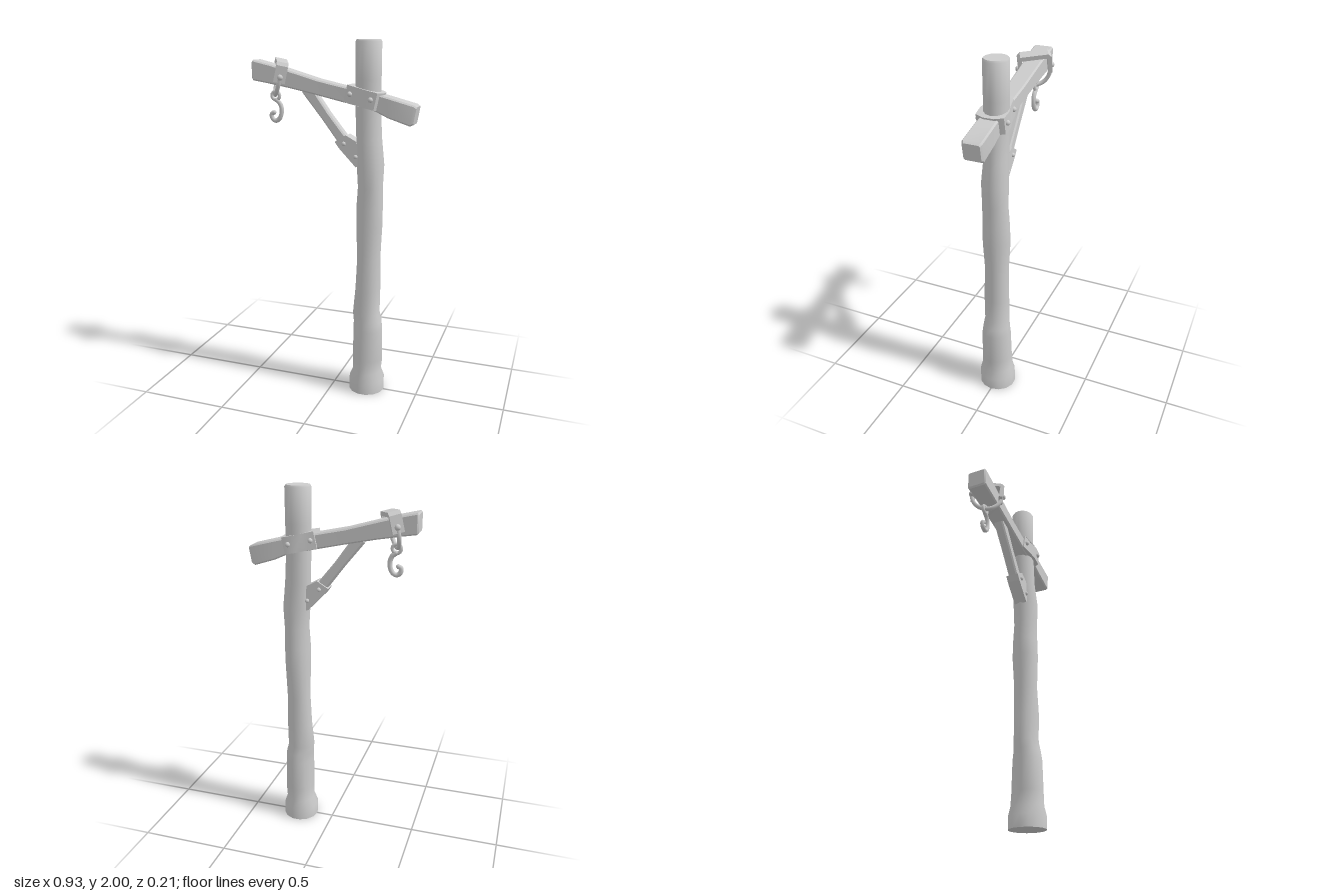
import * as THREE from 'three';
import { mergeVertices, toCreasedNormals } from 'three/addons/utils/BufferGeometryUtils.js';

const V = (x, y, z) => new THREE.Vector3(x, y, z);
const grey = new THREE.MeshStandardMaterial({ color: 0xcccccc });
grey.name = 'plain grey';

function add(parent, name, geometry) {
  const mesh = new THREE.Mesh(geometry, grey);
  mesh.name = name;
  parent.add(mesh);
  return mesh;
}

// Skin a series of equal-length rings and close both ends
function loft(rings, crease) {
  const n = rings[0].length, pos = [], idx = [];
  rings.forEach(r => r.forEach(p => pos.push(p.x, p.y, p.z)));
  for (let i = 0; i < rings.length - 1; i++) {
    for (let j = 0; j < n; j++) {
      const a = i * n + j, b = i * n + (j + 1) % n;
      idx.push(a, b, b + n, a, b + n, a + n);
    }
  }
  const last = (rings.length - 1) * n;
  for (let j = 1; j < n - 1; j++) {
    idx.push(0, j + 1, j, last, last + j, last + j + 1);
  }
  const g = new THREE.BufferGeometry();
  g.setAttribute('position', new THREE.Float32BufferAttribute(pos, 3));
  g.setIndex(idx);
  return toCreasedNormals(g, crease);
}

// Rectangular section with cut corners, for timber running along +x
function timberRing(x, bottom, top, z0, z1, cut) {
  return [
    [top, z0 + cut], [top, z1 - cut], [top - cut, z1], [bottom + cut, z1],
    [bottom, z1 - cut], [bottom, z0 + cut], [bottom + cut, z0], [top - cut, z0],
  ].map(([y, z]) => V(x, y, z));
}

function tube(points, radius, steps) {
  return new THREE.TubeGeometry(new THREE.CatmullRomCurve3(points), steps, radius, 8);
}

// Round-headed rivet with its axis along z
function rivet(parent, x, y, z, r = 0.014) {
  add(parent, 'rivet', new THREE.SphereGeometry(r, 10, 8)).position.set(x, y, z);
}

function buildPost(root) {
  // height, left, right, back, front
  const sections = [
    [0, 0.098, 0.304, -0.106, 0.106], [0.07, 0.098, 0.304, -0.106, 0.106],
    [0.12, 0.118, 0.284, -0.094, 0.096], [0.2, 0.118, 0.293, -0.088, 0.093],
    [0.38, 0.122, 0.291, -0.082, 0.087], [0.43, 0.122, 0.288, -0.076, 0.078],
    [0.48, 0.115, 0.274, -0.071, 0.07], [0.62, 0.127, 0.272, -0.073, 0.073],
    [0.8, 0.134, 0.268, -0.07, 0.066], [1.0, 0.132, 0.278, -0.08, 0.075],
    [1.1, 0.13, 0.28, -0.078, 0.07], [1.22, 0.137, 0.277, -0.073, 0.07],
    [1.34, 0.127, 0.281, -0.074, 0.074], [1.48, 0.122, 0.266, -0.068, 0.064],
    [1.65, 0.118, 0.256, -0.07, 0.062], [1.8, 0.116, 0.257, -0.071, 0.062],
    [1.99, 0.115, 0.257, -0.071, 0.063], [2.0, 0.121, 0.251, -0.065, 0.057],
  ];
  const rings = sections.map(([y, l, r, b, f]) => Array.from({ length: 14 }, (_, j) => {
    const a = j / 14 * Math.PI * 2;
    const worn = y > 0.1 && y < 1.6 ? 1 + 0.03 * Math.sin(3 * a + y * 9) - 0.01 : 1;
    return V((l + r) / 2 + (r - l) / 2 * worn * Math.cos(a), y,
      (b + f) / 2 - (f - b) / 2 * worn * Math.sin(a));
  }));
  add(root, 'post', loft(rings, 0.85));
}

function buildBeam(root) {
  // x, bottom, top, back, front
  const sections = [
    [-0.465, 1.788, 1.882, -0.045, 0.052, 0.008], [-0.457, 1.78, 1.89, -0.053, 0.059, 0.008],
    [-0.36, 1.764, 1.868, -0.05, 0.056, 0.008], [-0.24, 1.742, 1.835, -0.048, 0.053, 0.008],
    [-0.08, 1.708, 1.79, -0.046, 0.05, 0.008], [0.1, 1.668, 1.752, -0.045, 0.048, 0.008],
    [0.24, 1.635, 1.727, -0.05, 0.054, 0.008], [0.31, 1.603, 1.71, -0.05, 0.057, 0.008],
    [0.446, 1.565, 1.674, -0.051, 0.058, 0.008], [0.462, 1.572, 1.664, -0.044, 0.051, 0.008],
  ];
  const g = loft(sections.map(s => timberRing(...s)), 0.6);
  // Both sawn ends lean with the slope of the beam
  const p = g.attributes.position;
  for (let i = 0; i < p.count; i++) {
    if (p.getX(i) > 0.4) p.setX(i, p.getX(i) + (p.getY(i) - 1.665) * 0.18);
  }
  add(root, 'beam', toCreasedNormals(g, 0.6));
}

function buildPostStrap(root) {
  const strap = new THREE.Group();
  strap.name = 'postStrap';
  strap.position.set(0.19, 1.7, 0);
  strap.rotation.z = -0.22;
  root.add(strap);
  // Plan outline, mirrored front to back
  const half = [[-0.115, 0.055], [-0.05, 0.064], [0.0, 0.079], [0.06, 0.076], [0.08, 0.03]];
  const outline = [...half, ...half.map(([x, z]) => [x, -z]).reverse()];
  const rings = [-0.046, 0.046].map(y => outline.map(([x, z]) => V(x, y, z)));
  add(strap, 'postStrapBand', loft(rings, 0.5));
  for (const s of [1, -1]) {
    rivet(strap, -0.09, 0.002, s * 0.06);
    rivet(strap, 0.032, 0.004, s * 0.079);
  }
}

function buildBrace(root) {
  const brace = new THREE.Group();
  brace.name = 'brace';
  brace.position.set(0.125, 1.375, 0);
  brace.rotation.z = Math.atan2(0.37, -0.285);
  root.add(brace);
  // Strut runs along local x from the post up to the beam
  const strut = [[0, -0.024, 0.024], [0.12, -0.03, 0.028], [0.28, -0.026, 0.027], [0.46, -0.032, 0.032]];
  add(brace, 'braceStrut', loft(strut.map(([x, b, t]) => timberRing(x, b, t, -0.028, 0.028, 0.008)), 0.6));
  // Metal shoe at the foot of the strut
  const shoe = new THREE.Shape([[-0.06, -0.026], [0.07, -0.064], [0.13, -0.037], [0.138, 0.036], [0.1, 0.038], [-0.04, 0.022]]
    .map(([x, y]) => new THREE.Vector2(x, y)));
  const g = new THREE.ExtrudeGeometry(shoe, { depth: 0.076, bevelEnabled: false });
  g.translate(0, 0, -0.038);
  add(brace, 'braceShoe', g);
  for (const s of [1, -1]) {
    rivet(brace, 0.005, -0.012, s * 0.038, 0.012);
    rivet(brace, 0.1, 0, s * 0.038, 0.012);
  }
}

function buildHook(root) {
  const hanger = new THREE.Group();
  hanger.name = 'hanger';
  hanger.position.set(-0.325, 1.81, 0);
  hanger.rotation.set(0, 0.476, -0.24, 'ZXY');
  root.add(hanger);

  // Band folded over the beam
  const outer = [[-0.092, -0.03], [-0.092, 0.062], [-0.076, 0.08], [0.076, 0.08], [0.092, 0.062], [0.092, -0.03]];
  const inner = [[0.07, -0.03], [0.07, 0.056], [-0.07, 0.056], [-0.07, -0.03]];
  const band = new THREE.Shape([...outer, ...inner].map(([x, y]) => new THREE.Vector2(x, y)));
  const g = new THREE.ExtrudeGeometry(band, { depth: 0.064, bevelEnabled: false });
  g.translate(0, 0, -0.032);
  g.rotateY(Math.PI / 2);
  add(hanger, 'hangerBand', g);
  for (const s of [1, -1]) rivet(hanger, 0, 0, s * 0.092, 0.016);

  // Bail swinging below the beam
  const bail = Array.from({ length: 9 }, (_, i) => {
    const a = i / 8 * Math.PI;
    return V(0, -0.005 - 0.107 * Math.sin(a), 0.086 * Math.cos(a));
  });
  add(hanger, 'bail', tube(bail, 0.012, 32));

  // Eye and S-shaped hook
  add(root, 'hookEye', new THREE.TorusGeometry(0.023, 0.01, 8, 16)).position.set(-0.348, 1.696, 0);
  const curve = [[-0.345, 1.673], [-0.325, 1.655], [-0.314, 1.625], [-0.318, 1.59], [-0.333, 1.565],
    [-0.354, 1.558], [-0.372, 1.572], [-0.374, 1.595], [-0.36, 1.603]].map(([x, y]) => V(x, y, 0));
  add(root, 'hook', tube(curve, 0.013, 40));
  for (const p of [curve[0], curve[curve.length - 1]]) {
    add(root, 'hookTip', new THREE.SphereGeometry(0.013, 8, 6)).position.copy(p);
  }
}

export function createModel() {
  const root = new THREE.Group();
  root.name = 'hangingPost';
  buildPost(root);
  buildBeam(root);
  buildPostStrap(root);
  buildBrace(root);
  buildHook(root);
  return root;
}
